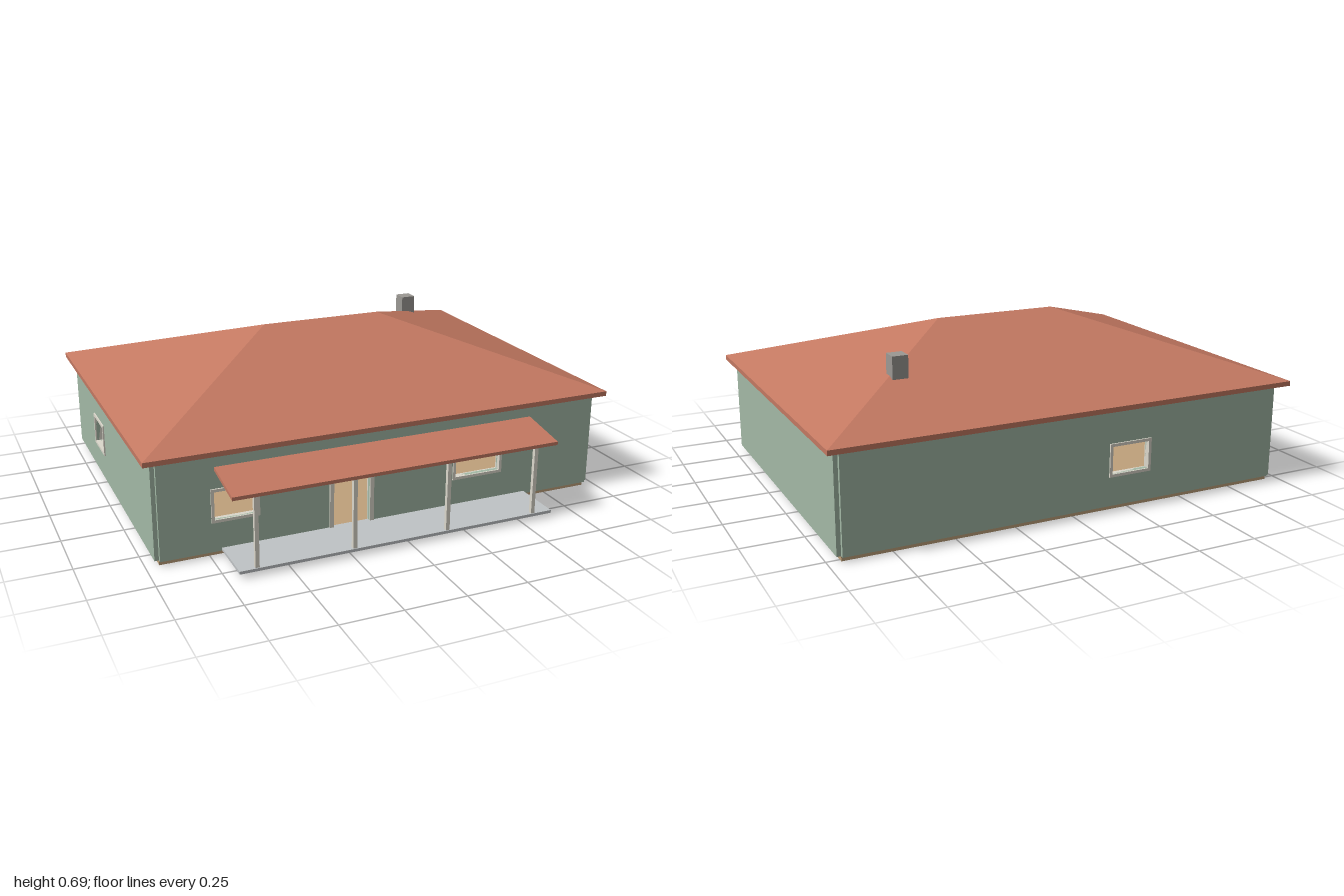
import * as THREE from 'three';

const mat = (color) => new THREE.MeshStandardMaterial({ color, flatShading: true });

export function createModel() {
  const house = new THREE.Group();
  house.name = 'house';
  const green = mat(0xa3b9a6), red = mat(0xc47962), tan = mat(0xc0a27c);
  const trim = mat(0xdcd8cc), concrete = mat(0xc0c4c6), stone = mat(0x9c9994);

  const add = (name, geometry, material, parent = house) => {
    const mesh = new THREE.Mesh(geometry, material);
    mesh.name = name;
    parent.add(mesh);
    return mesh;
  };
  // Box given by its lower and upper limits on each axis
  const box = (name, [x0, x1], [y0, y1], [z0, z1], material, parent) => {
    const mesh = add(name, new THREE.BoxGeometry(x1 - x0, y1 - y0, z1 - z0), material, parent);
    mesh.position.set((x0 + x1) / 2, (y0 + y1) / 2, (z0 + z1) / 2);
    return mesh;
  };
  const rect = (P, x0, x1, y0, y1) => new P([[x0, y0], [x1, y0], [x1, y1], [x0, y1]]
    .map(([x, y]) => new THREE.Vector2(x, y)));

  const FLOOR = 0.02, EAVE = 0.42, THICK = 0.018;

  // Foundation and floor
  box('floor', [-0.947, 0.947], [0, FLOOR], [-0.767, 0.596], tan);

  // A wall in its own xy plane, outside towards +z, with framed openings
  function wall(name, x0, x1, openings = []) {
    const group = new THREE.Group();
    group.name = name;
    const shape = rect(THREE.Shape, x0, x1, FLOOR, EAVE);
    for (const o of openings) {
      const [a, b, c, d] = o.box, t = o.bar;
      const low = o.door ? c : c + t;
      const inner = [a + t, b - t, low, d - t];
      shape.holes.push(rect(THREE.Path, ...inner));
      // Frame straddles the wall and stands a little proud on both sides
      const outline = o.door
        ? new THREE.Shape([[a, c], [a + t, c], [a + t, d - t], [b - t, d - t], [b - t, c], [b, c], [b, d], [a, d]]
          .map(([x, y]) => new THREE.Vector2(x, y)))
        : rect(THREE.Shape, a, b, c, d);
      if (!o.door) outline.holes.push(rect(THREE.Path, ...inner));
      const frame = new THREE.ExtrudeGeometry(outline, { depth: THICK + 0.012, bevelEnabled: false });
      add(o.door ? 'doorFrame' : 'windowFrame', frame, trim, group).position.z = -THICK - 0.006;
    }
    const geometry = new THREE.ExtrudeGeometry(shape, { depth: THICK, bevelEnabled: false });
    add(name + 'Panel', geometry, green, group).position.z = -THICK;
    house.add(group);
    return group;
  }
  const windowAt = (x0, x1) => ({ box: [x0, x1, 0.142, 0.28], bar: 0.012 });

  const front = wall('frontWall', -0.947, 0.947, [
    windowAt(-0.743, -0.55),
    windowAt(0.287, 0.516),
    { box: [-0.26, -0.07, FLOOR + 0.002, 0.31], bar: 0.017, door: true },
  ]);
  front.position.z = 0.612;
  const back = wall('backWall', -0.947, 0.947, [windowAt(0.153, 0.343)]);
  back.rotation.y = Math.PI;
  back.position.z = -0.783;
  const left = wall('leftWall', -0.596, 0.767);
  left.rotation.y = Math.PI / 2;
  left.position.x = 0.964;
  const right = wall('rightWall', -0.767, 0.596, [windowAt(-0.385, -0.203)]);
  right.rotation.y = -Math.PI / 2;
  right.position.x = -0.964;

  // Hipped roof: fascia slab, and a box whose top is drawn in to the ridge
  const z0 = -0.82, z1 = 0.643, rise = 0.245;
  box('fascia', [-1, 1], [EAVE, 0.44], [z0, z1], red);
  const hip = new THREE.BoxGeometry(2, rise, z1 - z0);
  const p = hip.attributes.position;
  for (let i = 0; i < p.count; i++) {
    if (p.getY(i) > 0) {
      p.setX(i, Math.sign(p.getX(i)) * 0.267);
      p.setZ(i, 0);
    }
  }
  hip.computeVertexNormals();
  add('hippedRoof', hip, red).position.set(0, 0.44 + rise / 2, (z0 + z1) / 2);

  box('chimney', [0.56, 0.625], [0.5, 0.647], [-0.475, -0.41], stone);

  // Porch: slab, four posts and a sloping roof
  const porch = new THREE.Group();
  porch.name = 'porch';
  house.add(porch);
  box('porchFloor', [-0.705, 0.635], [FLOOR, 0.032], [0.6, 0.82], concrete, porch);
  for (const x of [-0.634, -0.241, 0.158, 0.55]) {
    box('porchPost', [x - 0.008, x + 0.008], [0.032, 0.325], [0.8, 0.816], trim, porch);
  }
  const slope = new THREE.Shape([[0.6, 0.355], [0.82, 0.317], [0.82, 0.331], [0.6, 0.37]]
    .map(([z, y]) => new THREE.Vector2(-z, y)));
  const porchRoof = add('porchRoof',
    new THREE.ExtrudeGeometry(slope, { depth: 1.37, bevelEnabled: false }), red, porch);
  porchRoof.rotation.y = Math.PI / 2;
  porchRoof.position.x = -0.725;

  return house;
}
